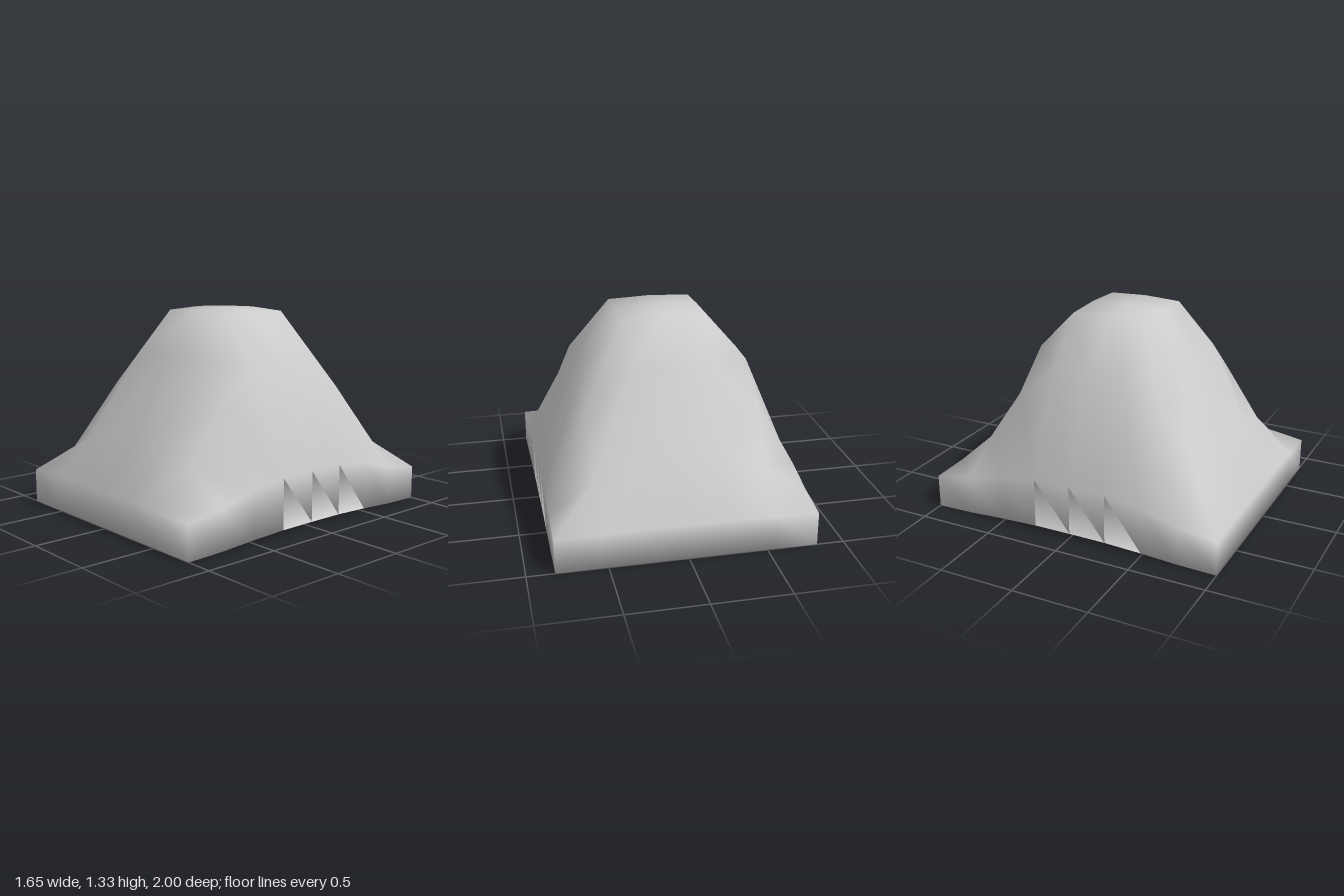
import * as THREE from 'three';

// Half profiles, from the middle to the rim, mirrored about the centre
const OUTER_X = [1, 0.99, 0.705, 0.125];
const OUTER_Z = [1, 0.99, 0.755, 0.295, 0.01];
const INNER_X = [1, 0.95, 0.6, 0.028];
const INNER_Z = [1, 0.96, 0.65, 0.18, 0];
const NX = 6, NZ = 8, WIDTH = 1.65, DEPTH = 2;

export function createModel() {
  const positions = [];
  const indices = [];
  const perLayer = (NX + 1) * (NZ + 1);
  const id = (layer, i, j) => layer * perLayer + j * (NX + 1) + i;

  // Height grid: the product of two bell profiles
  function addLayer(base, height, px, pz) {
    for (let j = 0; j <= NZ; j++) {
      for (let i = 0; i <= NX; i++) {
        const bump = px[Math.abs(i - NX / 2)] * pz[Math.abs(j - NZ / 2)];
        positions.push((i / NX - 0.5) * WIDTH, base + height * bump, (j / NZ - 0.5) * DEPTH);
      }
    }
  }
  addLayer(0.22, 1.11, OUTER_X, OUTER_Z);
  addLayer(0, 1.08, INNER_X, INNER_Z);

  // Domed top and hollow underside
  for (let j = 0; j < NZ; j++) {
    for (let i = 0; i < NX; i++) {
      for (const layer of [0, 1]) {
        const a = id(layer, i, j), b = id(layer, i + 1, j);
        const c = id(layer, i, j + 1), d = id(layer, i + 1, j + 1);
        if (layer === 0) indices.push(a, c, b, b, c, d);
        else indices.push(a, b, c, b, d, c);
      }
    }
  }

  // Upright rim joining both layers, walked around the border
  const border = [];
  for (let i = 0; i < NX; i++) border.push([i, NZ]);
  for (let j = NZ; j > 0; j--) border.push([NX, j]);
  for (let i = NX; i > 0; i--) border.push([i, 0]);
  for (let j = 0; j < NZ; j++) border.push([0, j]);
  border.forEach(([i, j], k) => {
    const [m, n] = border[(k + 1) % border.length];
    const t0 = id(0, i, j), t1 = id(0, m, n);
    const b0 = id(1, i, j), b1 = id(1, m, n);
    indices.push(b0, b1, t0, b1, t1, t0);
  });

  const geometry = new THREE.BufferGeometry();
  geometry.setAttribute('position', new THREE.Float32BufferAttribute(positions, 3));
  geometry.setIndex(indices);
  geometry.computeVertexNormals();

  const mound = new THREE.Mesh(geometry, new THREE.MeshStandardMaterial({ color: 0xcccccc }));
  mound.name = 'hollowMound';
  const group = new THREE.Group();
  group.name = 'mound';
  group.add(mound);
  return group;
}
